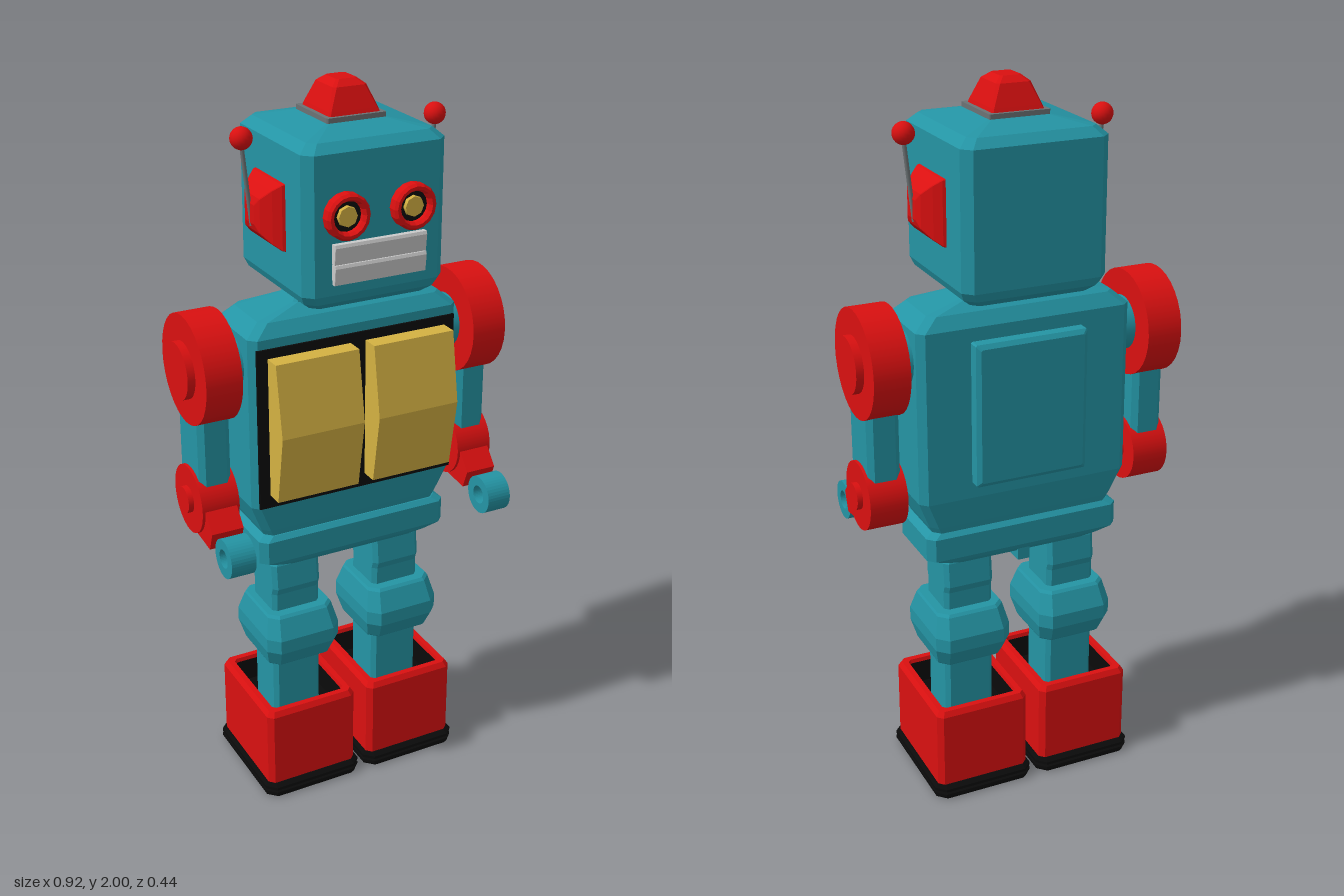
import * as THREE from 'three';

const mat = (name, color) => {
  const m = new THREE.MeshStandardMaterial({ color });
  m.name = name;
  return m;
};

// Stack of chamfered rectangles [y, halfX, halfZ, chamfer], flat faceted.
function loft(rings, capTop = true, capBottom = true) {
  const pos = [];
  const loops = rings.map(([y, a, b, c]) => [
    [a, b - c], [a - c, b], [c - a, b], [-a, b - c],
    [-a, c - b], [c - a, -b], [a - c, -b], [a, c - b],
  ].map(([x, z]) => [x, y, z]));
  const tri = (...p) => p.forEach((v) => pos.push(...v));
  for (let k = 0; k + 1 < loops.length; k++) {
    const lo = loops[k], hi = loops[k + 1];
    for (let i = 0; i < 8; i++) {
      const j = (i + 1) % 8;
      tri(lo[i], hi[i], hi[j]);
      tri(lo[i], hi[j], lo[j]);
    }
  }
  const first = loops[0], last = loops[loops.length - 1];
  for (let i = 1; i < 7; i++) {
    if (capBottom) tri(first[0], first[i], first[i + 1]);
    if (capTop) tri(last[0], last[i + 1], last[i]);
  }
  const g = new THREE.BufferGeometry();
  g.setAttribute('position', new THREE.Float32BufferAttribute(pos, 3));
  g.computeVertexNormals();
  return g;
}

// Shape drawn in the (z, y) plane, given a thickness centred along x.
function sidePlate(shape, width) {
  const g = new THREE.ExtrudeGeometry(shape, { depth: width, bevelEnabled: false, curveSegments: 20 });
  return g.translate(0, 0, -width / 2).rotateY(-Math.PI / 2);
}
const polygon = (pts) => new THREE.Shape(pts.map(([x, y]) => new THREE.Vector2(x, y)));
const disc = (r, width) => new THREE.CylinderGeometry(r, r, width, 32).rotateZ(Math.PI / 2);

export function createModel() {
  const root = new THREE.Group();
  root.name = 'toyRobot';
  const teal = mat('teal paint', 0x2494a4);
  const red = mat('red paint', 0xda1010);
  const gold = mat('gold', 0xd4b142);
  const black = mat('black', 0x0a0a0a);
  const silver = mat('light grey', 0xcacaca);
  const steel = mat('steel grey', 0x6c7274);

  const add = (name, geo, material, x = 0, y = 0, z = 0, parent = root) => {
    const m = new THREE.Mesh(geo, material);
    m.name = name;
    m.position.set(x, y, z);
    parent.add(m);
    return m;
  };

  // Head, slightly off centre
  const head = new THREE.Group();
  head.name = 'head';
  head.position.set(0.013, 0, -0.017);
  root.add(head);
  add('headBox', loft([
    [1.455, 0.12, 0.12, 0.02], [1.462, 0.165, 0.165, 0.02], [1.482, 0.19, 0.19, 0.025], [1.505, 0.2, 0.199, 0.025],
    [1.865, 0.2, 0.199, 0.025], [1.888, 0.175, 0.175, 0.02], [1.908, 0.08, 0.085, 0.005],
  ]), teal, 0, 0, 0, head);
  add('lampBase', loft([[1.9, 0.083, 0.088, 0.003], [1.92, 0.083, 0.088, 0.003]]), steel, 0, 0, 0, head);
  add('lamp', loft([
    [1.915, 0.072, 0.079, 0.003], [1.93, 0.068, 0.074, 0.004], [1.985, 0.047, 0.054, 0.008], [2.0, 0.028, 0.034, 0.006],
  ]), red, 0, 0, 0, head);

  // Eyes: rim with a dark socket and gold pupil
  const rimProfile = [[0.04, 0], [0.06, 0], [0.06, 0.028], [0.054, 0.036], [0.046, 0.036], [0.04, 0.026], [0.04, 0]];
  for (const s of [-1, 1]) {
    const eye = new THREE.Group();
    eye.name = s < 0 ? 'rightEye' : 'leftEye';
    eye.position.set(s * 0.093, 1.71, 0.195);
    head.add(eye);
    const rim = new THREE.LatheGeometry(rimProfile.map((p) => new THREE.Vector2(...p)), 16).toNonIndexed();
    rim.computeVertexNormals();
    add('eyeRim', rim.rotateX(Math.PI / 2), red, 0, 0, 0, eye);
    add('eyeSocket', new THREE.CylinderGeometry(0.042, 0.042, 0.02, 16).rotateX(Math.PI / 2), black, 0, 0, 0.005, eye);
    add('pupil', new THREE.CylinderGeometry(0.026, 0.028, 0.012, 8).rotateX(Math.PI / 2), gold, 0, 0, 0.019, eye);
  }

  // Mouth made of two slats
  for (const y of [1.561, 1.614]) {
    add('mouthSlat', loft([[-0.026, 0.13, 0.012, 0.001], [0.018, 0.13, 0.017, 0.001], [0.026, 0.13, 0.014, 0.001]]),
      silver, 0.003, y, 0.2, head);
  }

  // Ears and antennas
  for (const s of [-1, 1]) {
    const ear = add('ear', loft([
      [-0.01, 0.09, 0.09, 0.002], [0.01, 0.085, 0.085, 0.002], [0.03, 0.07, 0.07, 0.002],
      [0.053, 0.045, 0.045, 0.002], [0.06, 0.025, 0.025, 0.002],
    ]), red, s * 0.198, 1.685, 0.002, head);
    ear.rotation.z = -s * Math.PI / 2;
    const rod = new THREE.LineCurve3(new THREE.Vector3(s * 0.252, 1.65, 0), new THREE.Vector3(s * 0.276, 1.87, 0));
    add('antennaRod', new THREE.TubeGeometry(rod, 1, 0.006, 8), steel, 0, 0, 0, head);
    add('antennaBall', new THREE.SphereGeometry(0.029, 16, 12), red, s * 0.275, 1.875, 0, head);
  }

  // Torso, with shoulder slope and neck
  add('torso', loft([
    [0.8, 0.26, 0.095, 0.02], [0.825, 0.272, 0.1, 0.02], [0.905, 0.305, 0.113, 0.02], [1.385, 0.305, 0.113, 0.02],
    [1.42, 0.265, 0.09, 0.02], [1.445, 0.15, 0.05, 0.01], [1.475, 0.13, 0.042, 0.01],
  ]), teal, 0, 0, -0.012);
  add('chestFrame', new THREE.BoxGeometry(0.58, 0.452, 0.008), black, 0, 1.134, 0.103);
  const door = polygon([[0.1, 0.945], [0.155, 0.945], [0.188, 1.14], [0.155, 1.335], [0.1, 1.335]]);
  for (const s of [-1, 1]) add('chestDoor', sidePlate(door, 0.238), gold, s * 0.141);
  const back = add('backPanel', loft([[0, 0.16, 0.2, 0.004], [0.036, 0.16, 0.2, 0.004], [0.045, 0.148, 0.188, 0.004]]),
    teal, 0, 1.148, -0.12);
  back.rotation.x = -Math.PI / 2;

  // Hips
  add('hips', loft([
    [0.7, 0.2, 0.085, 0.02], [0.715, 0.245, 0.1, 0.02], [0.73, 0.285, 0.11, 0.02],
    [0.795, 0.285, 0.11, 0.02], [0.808, 0.265, 0.098, 0.02],
  ]), teal, 0, 0, -0.01);
  add('hipPeg', new THREE.BoxGeometry(0.036, 0.05, 0.13), teal, -0.002, 0.7, -0.04);

  // Arms
  for (const s of [-1, 1]) {
    const arm = new THREE.Group();
    arm.name = s < 0 ? 'rightArm' : 'leftArm';
    arm.position.set(s * 0.39, 0, -0.017);
    root.add(arm);
    add('shoulderAxle', disc(0.075, 0.1), teal, -s * 0.07, 1.295, 0, arm);
    add('shoulderDisc', disc(0.148, 0.1), red, 0, 1.295, 0, arm);
    add('shoulderHub', disc(0.077, 0.03), red, s * 0.056, 1.295, 0, arm);
    add('upperArm', loft([[0.92, 0.045, 0.072, 0.015], [1.28, 0.045, 0.072, 0.015]]), teal, 0, 0, 0, arm);
    add('wristDisc', disc(0.095, 0.106), red, 0, 0.922, 0, arm);
    add('wristHub', disc(0.037, 0.136), red, 0, 0.922, 0, arm);
    const bracket = polygon([[0.02, 0.832], [0.115, 0.822], [0.135, 0.875], [0.085, 0.935], [0, 0.92]]);
    add('handBracket', sidePlate(bracket, 0.09), red, 0, 0, 0, arm);
    const ring = new THREE.Shape().absarc(0, 0, 0.054, 0, Math.PI * 2);
    ring.holes.push(new THREE.Path().absarc(0, 0, 0.026, 0, Math.PI * 2, true));
    add('handRing', sidePlate(ring, 0.07), teal, 0, 0.825, 0.182, arm);
  }

  // Legs and boots
  for (const s of [-1, 1]) {
    const leg = new THREE.Group();
    leg.name = s < 0 ? 'rightLeg' : 'leftLeg';
    leg.position.set(s * 0.158 - 0.006, 0, -0.009);
    root.add(leg);
    add('legColumn', loft([
      [0.2, 0.072, 0.068, 0.012], [0.6, 0.072, 0.068, 0.012], [0.62, 0.072, 0.075, 0.012],
      [0.69, 0.072, 0.068, 0.012], [0.71, 0.06, 0.06, 0.012],
    ]), teal, 0, 0, 0, leg);
    add('knee', loft([
      [0.388, 0.094, 0.095, 0.025], [0.395, 0.098, 0.103, 0.025], [0.445, 0.111, 0.128, 0.03],
      [0.485, 0.111, 0.128, 0.03], [0.542, 0.098, 0.103, 0.025], [0.549, 0.094, 0.095, 0.025],
    ]), teal, 0.003, 0, 0, leg);
    add('boot', loft([
      [0.03, 0.137, 0.164, 0.015], [0.265, 0.137, 0.164, 0.015], [0.28, 0.128, 0.155, 0.012],
      [0.28, 0.112, 0.138, 0.01], [0.268, 0.11, 0.136, 0.01],
    ], false), red, 0, 0, 0, leg);
    add('bootOpening', loft([[0.268, 0.11, 0.136, 0.01], [0.2, 0.11, 0.136, 0.01]], true, false), black, 0, 0, 0, leg);
    add('sole', loft([
      [0, 0.143, 0.174, 0.025], [0.01, 0.148, 0.18, 0.025], [0.018, 0.148, 0.18, 0.025], [0.022, 0.143, 0.174, 0.025],
      [0.026, 0.148, 0.18, 0.025], [0.034, 0.148, 0.18, 0.025], [0.042, 0.14, 0.168, 0.02],
    ]), black, 0, 0, 0, leg);
  }
  return root;
}
